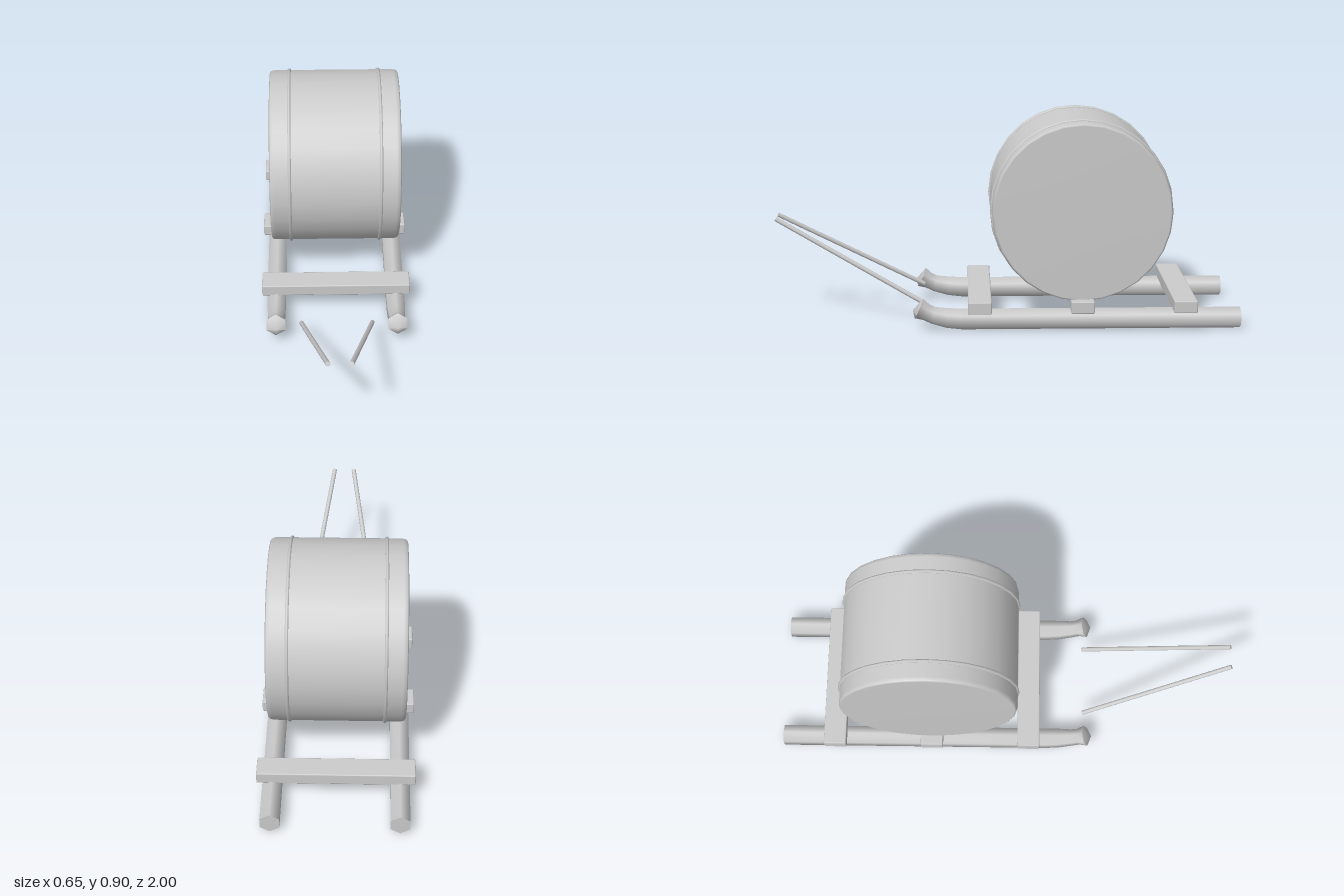
import * as THREE from 'three';
import { toCreasedNormals } from 'three/addons/utils/BufferGeometryUtils.js';
import { RoundedBoxGeometry } from 'three/addons/geometries/RoundedBoxGeometry.js';

const material = new THREE.MeshStandardMaterial({ color: 0xcccccc });

function add(parent, name, geometry, x = 0, y = 0, z = 0) {
  const mesh = new THREE.Mesh(geometry, material);
  mesh.name = name;
  mesh.position.set(x, y, z);
  parent.add(mesh);
  return mesh;
}

// Six-sided runner lofted along z; each section is [z, y, radius, backward tilt]
function runnerGeometry() {
  const sections = [
    [-1, 0.045, 0, 0],
    [-1, 0.045, 0.046, 0],
    [0.19, 0.045, 0.046, 0],
    [0.25, 0.05, 0.044, 0.12],
    [0.31, 0.062, 0.038, 0.25],
    [0.34, 0.076, 0.037, 0.38],
    [0.373, 0.093, 0.047, 0.4],
    [0.398, 0.086, 0, 0.4],
  ];
  const sides = 6, positions = [], index = [];
  sections.forEach(([z, y, r, tilt], i) => {
    for (let j = 0; j < sides; j++) {
      const a = (j / sides) * Math.PI * 2;
      const up = Math.cos(a) * r;
      positions.push(Math.sin(a) * r, y + up * Math.cos(tilt), z - up * Math.sin(tilt));
      if (i === sections.length - 1) continue;
      const p = i * sides + j, p1 = i * sides + (j + 1) % sides;
      index.push(p, p + sides, p1, p1, p + sides, p1 + sides);
    }
  });
  const geometry = new THREE.BufferGeometry();
  geometry.setAttribute('position', new THREE.Float32BufferAttribute(positions, 3));
  geometry.setIndex(index);
  return toCreasedNormals(geometry, 1.2);
}

// Straight rod between two points
function addRod(parent, name, from, to, radius) {
  const direction = to.clone().sub(from);
  const rod = add(parent, name, new THREE.CylinderGeometry(radius, radius, direction.length(), 8));
  rod.position.copy(from).add(to).multiplyScalar(0.5);
  rod.quaternion.setFromUnitVectors(new THREE.Vector3(0, 1, 0), direction.normalize());
}

export function createModel() {
  const group = new THREE.Group();
  group.name = 'barrelSled';

  // Barrel lying across the sled, with softened rims and two hoops
  const barrel = new THREE.Group();
  barrel.name = 'barrel';
  barrel.position.set(0, 0.505, -0.322);
  group.add(barrel);
  const profile = [
    [0, -0.285], [0.372, -0.285], [0.379, -0.28], [0.383, -0.265],
    [0.383, 0.265], [0.379, 0.28], [0.372, 0.285], [0, 0.285],
  ].map(([r, h]) => new THREE.Vector2(r, h));
  add(barrel, 'barrelBody', new THREE.LatheGeometry(profile, 28)).rotation.z = -Math.PI / 2;
  for (const x of [-0.198, 0.198]) {
    add(barrel, 'barrelHoop', new THREE.TorusGeometry(0.383, 0.008, 6, 28), x).rotation.y = Math.PI / 2;
  }

  // Cross beams
  for (const z of [0.113, -0.323, -0.76]) {
    add(group, 'crossBeam', new RoundedBoxGeometry(0.655, 0.053, 0.1, 1, 0.005), 0, 0.107, z);
  }

  // Runners and pull shafts on both sides
  const runner = runnerGeometry();
  for (const side of [-1, 1]) {
    add(group, 'runner', runner, side * 0.264);
    addRod(group, 'pullShaft',
      new THREE.Vector3(side * 0.154, 0.09, 0.358),
      new THREE.Vector3(side * 0.046, 0.438, 0.995), 0.01);
  }
  return group;
}
